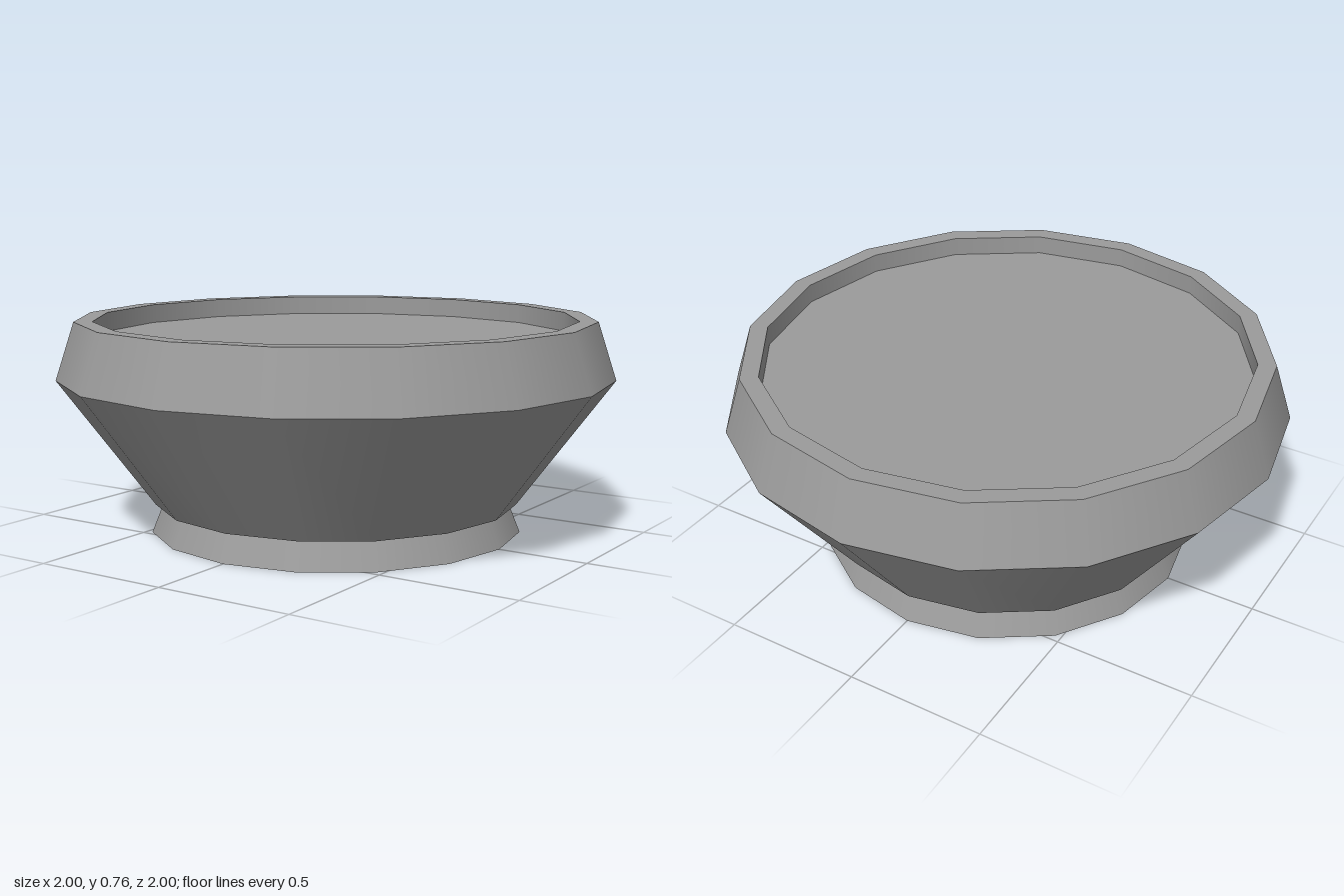
import * as THREE from 'three';

const SIDES = 16;
const material = new THREE.MeshStandardMaterial({ color: 0x9b9b9b });

// One turned band per profile segment: smooth around, sharp between bands.
// Profiles run from the bottom outwards, up, then back in, so faces point out.
function turnedPart(name, profile) {
  const part = new THREE.Group();
  part.name = name;
  for (let i = 0; i < profile.length - 1; i++) {
    const points = [profile[i], profile[i + 1]].map(([r, y]) => new THREE.Vector2(r, y));
    const band = new THREE.Mesh(new THREE.LatheGeometry(points, SIDES), material);
    band.name = `${name}Band${i + 1}`;
    part.add(band);
  }
  return part;
}

export function createModel() {
  const model = new THREE.Group();
  model.name = 'footedBowl';

  // Flared foot with a flat underside
  model.add(turnedPart('foot', [[0, 0], [0.675, 0], [0.635, 0.1]]));

  // Bowl: underside ledge, flaring wall, inward collar, flat rim, shallow recess and its floor
  model.add(turnedPart('bowl', [
    [0.635, 0.1], [0.66, 0.1], [1, 0.56], [0.933, 0.765],
    [0.868, 0.765], [0.868, 0.695], [0, 0.695],
  ]));

  return model;
}
